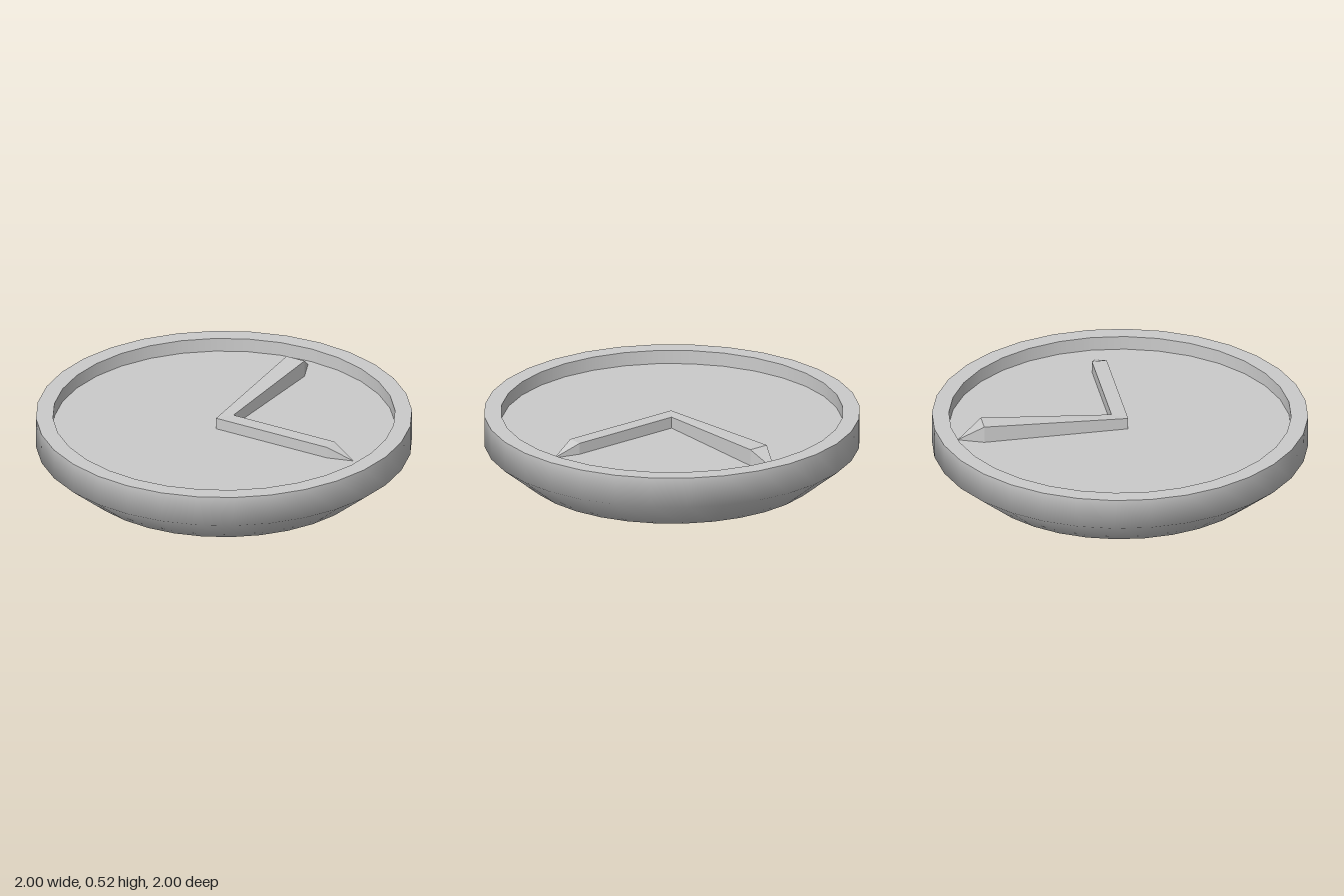
import * as THREE from 'three';

const FLOOR = 0.425;

// One clock hand: a tapering bar from nearL/nearR to farL/farR, then a point sloping down to the floor.
// Corners are [x, z]; left and right are seen looking along the hand.
function makeHand(name, nearL, nearR, farL, farR, tip, nearY, farY, material) {
  const at = ([x, z], y) => [x, y, z];
  const nl = at(nearL, nearY), nr = at(nearR, nearY);
  const fl = at(farL, farY), fr = at(farR, farY), t = at(tip, FLOOR);
  const down = ([x, , z]) => [x, FLOOR, z];
  const triangles = [
    nl, nr, fr, nl, fr, fl,                         // top
    fl, fr, t,                                      // sloping point
    down(nr), down(fr), fr, down(nr), fr, nr,       // right side
    down(fl), down(nl), nl, down(fl), nl, fl,       // left side
    down(fr), t, fr, t, down(fl), fl,               // sides of the point
  ];
  const geometry = new THREE.BufferGeometry();
  geometry.setAttribute('position', new THREE.Float32BufferAttribute(triangles.flat(), 3));
  geometry.computeVertexNormals();
  const mesh = new THREE.Mesh(geometry, material);
  mesh.name = name;
  return mesh;
}

export function createModel() {
  const group = new THREE.Group();
  group.name = 'clockDish';
  const material = new THREE.MeshStandardMaterial({ color: 0xcccccc });

  // Turned parts of the dish; separate profiles keep the rim edges sharp.
  const profiles = {
    dishUnderside: [[0, 0], [0.79, 0.162], [1, 0.333], [1, 0.5]],
    dishRim: [[1, 0.5], [0.91, 0.5]],
    dishInnerWall: [[0.91, 0.5], [0.91, FLOOR]],
    clockFace: [[0.91, FLOOR], [0, FLOOR]],
  };
  for (const [name, profile] of Object.entries(profiles)) {
    const points = profile.map(([r, y]) => new THREE.Vector2(r, y));
    const mesh = new THREE.Mesh(new THREE.LatheGeometry(points, 32), material);
    mesh.name = name;
    group.add(mesh);
  }

  // The two hands meet in a mitre near the centre.
  const outer = [-0.025, 0.04], inner = [0.035, -0.04];
  group.add(
    makeHand('minuteHand', outer, inner, [-0.053, -0.74], [0.058, -0.74], [0, -0.875], 0.487, 0.516, material),
    makeHand('hourHand', inner, outer, [0.66, -0.04], [0.66, 0.04], [0.8, 0], 0.487, 0.487, material),
  );
  return group;
}
